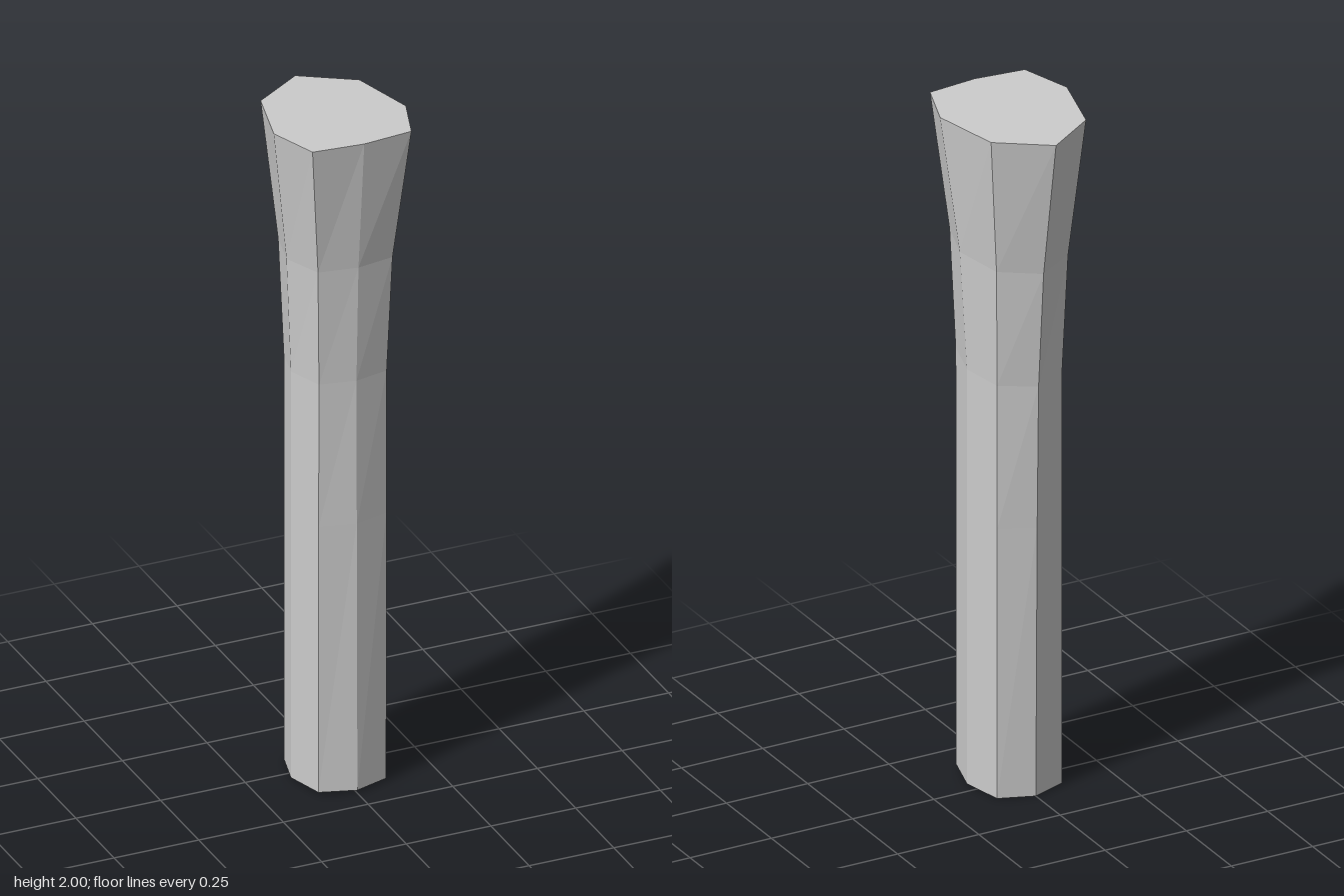
import * as THREE from 'three';

// Rings from bottom to top: mean height, tilt (rise per z), side and corner
// half-widths, then z of front, front corner, side, back corner and back.
const RINGS = [
  { y: 0.004, tilt: 0.03, side: 0.13, corner: 0.1, z: [0.18, 0.147, 0.033, -0.08, -0.115] },
  { y: 0.81, tilt: 0.05, side: 0.13, corner: 0.1, z: [0.176, 0.148, 0.033, -0.08, -0.122] },
  { y: 1.24, tilt: 0.08, side: 0.13, corner: 0.1, z: [0.174, 0.15, 0.033, -0.08, -0.13] },
  { y: 1.59, tilt: 0.08, side: 0.147, corner: 0.11, z: [0.187, 0.166, 0.042, -0.095, -0.158] },
  { y: 1.995, tilt: 0.022, side: 0.195, corner: 0.146, z: [0.225, 0.21, 0.065, -0.13, -0.227] },
];

// Eight points, starting at the front and going round by +x
function ringPoints({ y, tilt, side, corner, z }) {
  const half = [0, corner, side, corner, 0];
  const order = [0, 1, 2, 3, 4, 3, 2, 1];
  return order.map((k, i) => [i > 4 ? -half[k] : half[k], y + tilt * z[k], z[k]]);
}

function surface(positions, indices) {
  const geometry = new THREE.BufferGeometry();
  geometry.setAttribute('position', new THREE.Float32BufferAttribute(positions.flat(), 3));
  geometry.setIndex(indices);
  const flat = geometry.toNonIndexed();
  flat.computeVertexNormals();
  return flat;
}

export function createModel() {
  const group = new THREE.Group();
  group.name = 'flaredPost';
  const material = new THREE.MeshStandardMaterial({
    color: 0xcccccc, flatShading: true, side: THREE.DoubleSide,
  });
  const rings = RINGS.map(ringPoints);
  const n = 8;

  // Faceted shaft, open at the bottom
  const indices = [];
  for (let r = 0; r < rings.length - 1; r++) {
    for (let i = 0; i < n; i++) {
      const a = r * n + i, b = r * n + (i + 1) % n;
      indices.push(a, b, b + n, a, b + n, a + n);
    }
  }
  const shaft = new THREE.Mesh(surface(rings.flat(), indices), material);
  shaft.name = 'shaft';

  // Closed top face
  const fan = [];
  for (let i = 1; i < n - 1; i++) fan.push(0, i, i + 1);
  const cap = new THREE.Mesh(surface(rings[rings.length - 1], fan), material);
  cap.name = 'topCap';

  group.add(shaft, cap);
  return group;
}
